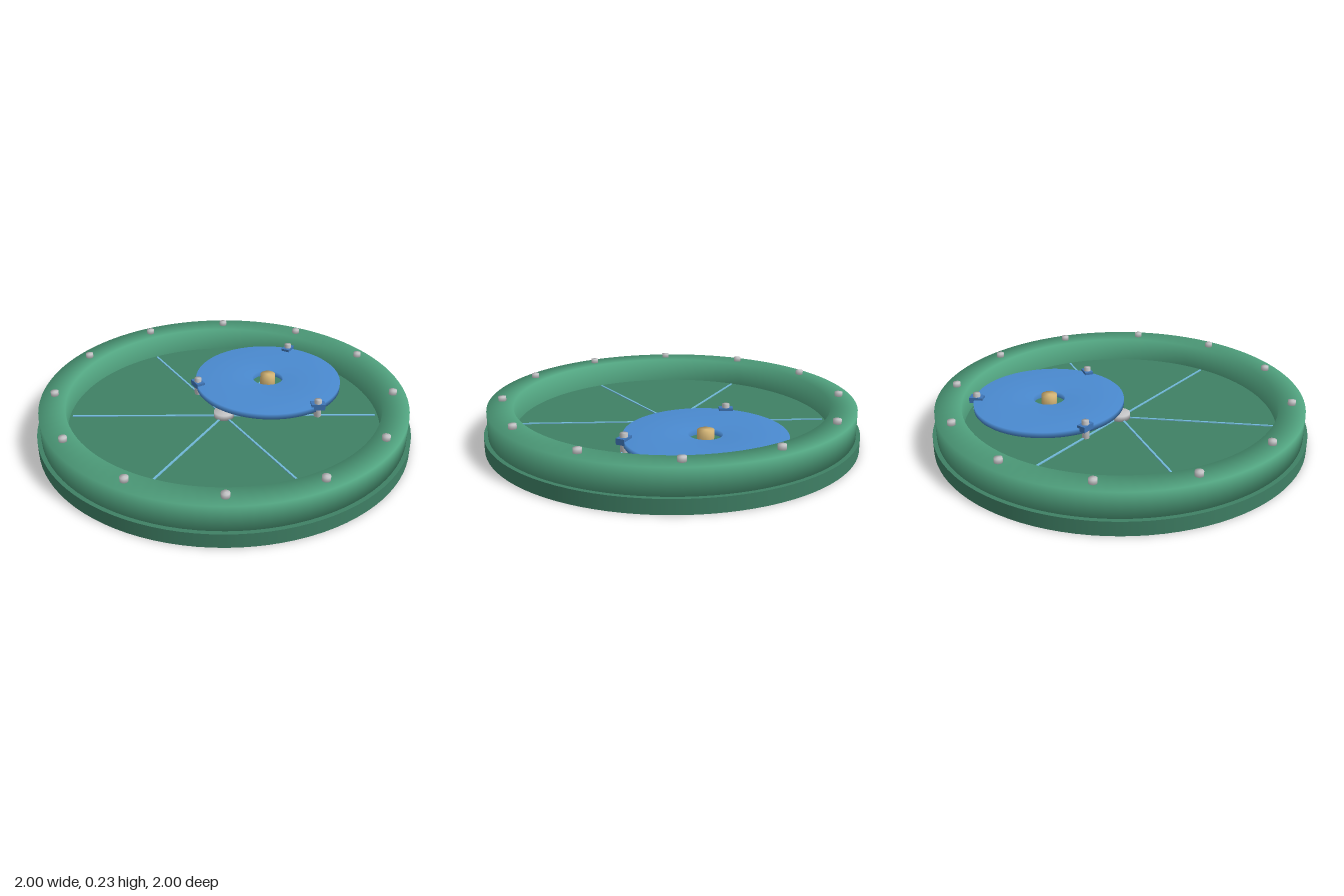
import * as THREE from 'three';

const mat = (name, color, side = THREE.FrontSide) => {
  const m = new THREE.MeshStandardMaterial({ color, side });
  m.name = name;
  return m;
};

export function createModel() {
  const baseGreen = mat('deep green', 0x3f8065);
  const rimGreen = mat('green', 0x52a581);
  const blue = mat('blue', 0x4a8ad0);
  const sliderBlue = mat('slider blue', 0x3f76b8);
  const paleBlue = mat('pale blue', 0x70b8d8);
  const steel = mat('steel', 0xc4c4c6);
  const brass = mat('brass', 0xd8b878);

  const model = new THREE.Group();
  model.name = 'rollingCircleMechanism';
  const FLOOR = 0.075;
  const DISC = { x: 0.255, z: -0.32, r: 0.415, hole: 0.087, bottom: 0.108, top: 0.14 };

  function add(name, geometry, material, x = 0, y = 0, z = 0, parent = model) {
    const mesh = new THREE.Mesh(geometry, material);
    mesh.name = name;
    mesh.position.set(x, y, z);
    parent.add(mesh);
    return mesh;
  }

  // Flat ring with a rectangular section
  function ring(inner, outer, bottom, top) {
    const section = [[inner, bottom], [outer, bottom], [outer, top], [inner, top], [inner, bottom]];
    return new THREE.LatheGeometry(section.map(([r, y]) => new THREE.Vector2(r, y)), 96);
  }

  // Solid pin with softly shaded edges
  function pin(radius, bottom, top) {
    const section = [[0, bottom], [radius, bottom], [radius, top], [0, top]];
    return new THREE.LatheGeometry(section.map(([r, y]) => new THREE.Vector2(r, y)), 24);
  }

  // Housing: base plate and raised rim
  add('basePlate', new THREE.CylinderGeometry(1, 1, FLOOR, 96), baseGreen, 0, FLOOR / 2, 0);
  add('rim', ring(0.84, 0.978, FLOOR, 0.21), rimGreen);

  // Twelve bolts around the rim
  const boltGeometry = pin(0.021, 0.205, 0.233);
  for (let i = 0; i < 12; i++) {
    const a = (i / 12) * Math.PI * 2;
    add('rimBolt', boltGeometry, steel, 0.908 * Math.cos(a), 0, 0.908 * Math.sin(a));
  }

  // Three diameters, each carrying one slider fixed to the disc edge
  const trackGeometry = new THREE.BoxGeometry(1.65, 0.006, 0.011);
  const blockGeometry = new THREE.BoxGeometry(0.075, 0.032, 0.048);
  const postGeometry = pin(0.02, FLOOR, 0.174);
  [[0, 0.51], [60, 0.8], [120, 0.293]].forEach(([degrees, distance]) => {
    const guide = new THREE.Group();
    guide.name = 'guide';
    guide.rotation.y = THREE.MathUtils.degToRad(degrees);
    model.add(guide);
    add('track', trackGeometry, paleBlue, 0, FLOOR + 0.002, 0, guide);
    add('sliderBlock', blockGeometry, sliderBlue, distance, 0.138, 0, guide);
    add('sliderPost', postGeometry, steel, distance, 0, 0, guide);
  });

  // Rolling disc with its hub, and the centre pivot
  add('rollingDisc', ring(DISC.hole, DISC.r, DISC.bottom, DISC.top), blue, DISC.x, 0, DISC.z);
  add('discHub', pin(0.043, FLOOR, 0.163), brass, DISC.x, 0, DISC.z);
  add('centrePivot', pin(0.055, FLOOR, 0.106), steel);

  return model;
}
